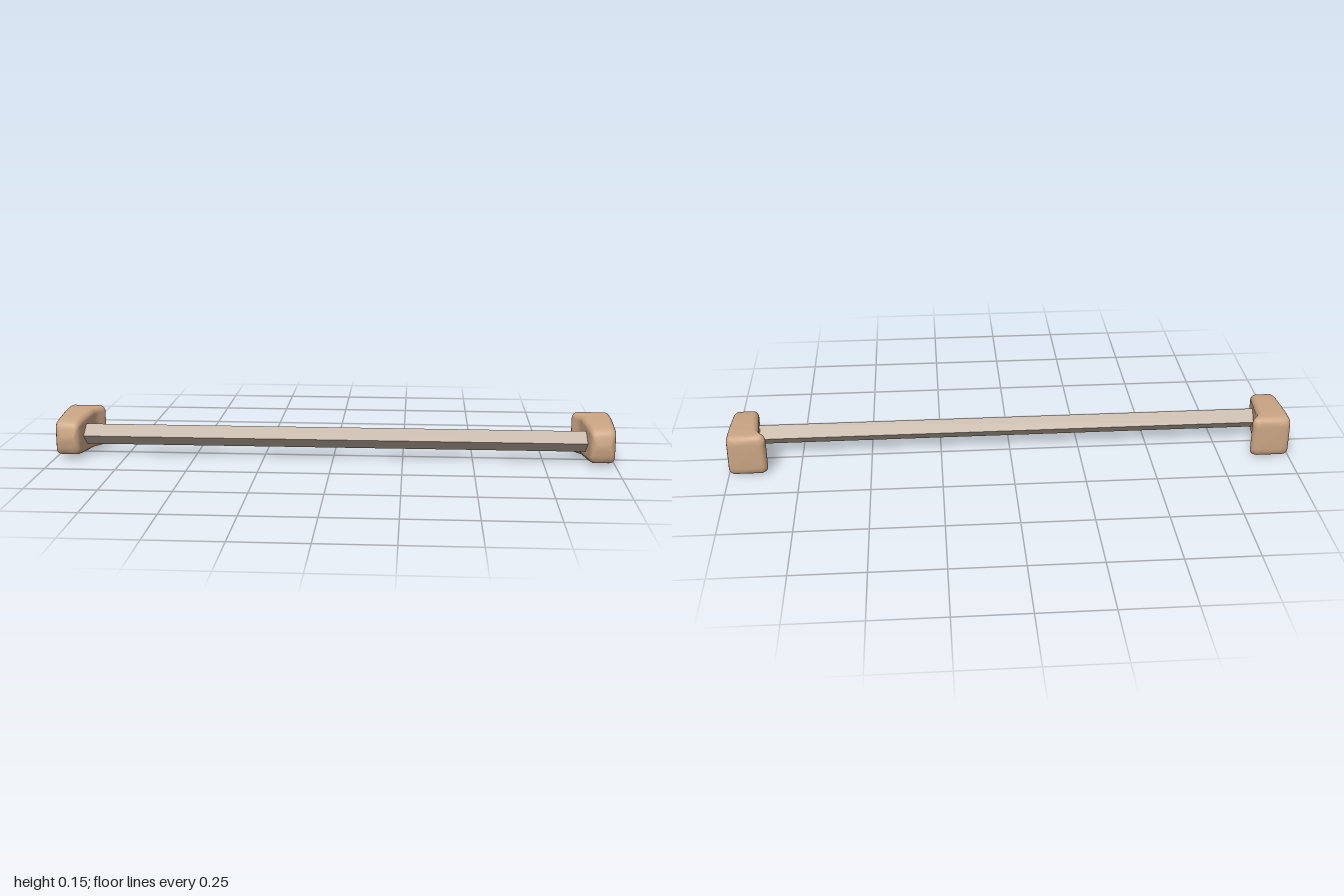
import * as THREE from 'three';

// Bracket cross-sections from wall to tip: z, inner x, outer x, half height, corner radius
const SECTIONS = [
  [-0.125, 0.885, 0.980, 0.046, 0.015],
  [-0.123, 0.875, 0.990, 0.060, 0.018],
  [-0.117, 0.867, 0.997, 0.070, 0.020],
  [-0.105, 0.863, 1.000, 0.075, 0.022],
  [-0.095, 0.866, 1.000, 0.0755, 0.022],
  [-0.080, 0.878, 1.000, 0.0755, 0.022],
  [-0.065, 0.887, 1.000, 0.0755, 0.022],
  [-0.050, 0.890, 1.000, 0.075, 0.022],
  [0.000, 0.895, 0.999, 0.072, 0.022],
  [0.060, 0.901, 0.997, 0.068, 0.022],
  [0.090, 0.904, 0.996, 0.064, 0.021],
  [0.108, 0.907, 0.993, 0.059, 0.019],
  [0.117, 0.912, 0.989, 0.050, 0.016],
  [0.122, 0.918, 0.982, 0.034, 0.012],
  [0.126, 0.924, 0.976, 0.010, 0.006],
];
const MID_Y = 0.0775;
const CORNER_STEPS = 6;

// Lofts rounded rectangles along z; side is +1 (left) or -1 (right)
function bracketGeometry(side) {
  const pos = [], idx = [];
  const n = 4 * (CORNER_STEPS + 1);
  const tri = (a, b, c) => (side > 0 ? idx.push(a, b, c) : idx.push(a, c, b));

  for (const [z, x0, x1, h, r] of SECTIONS) {
    const cx = (x0 + x1) / 2, w = (x1 - x0) / 2;
    for (let q = 0; q < 4; q++) {
      const sx = q === 0 || q === 3 ? 1 : -1, sy = q < 2 ? 1 : -1;
      for (let k = 0; k <= CORNER_STEPS; k++) {
        const a = (q + k / CORNER_STEPS) * Math.PI / 2;
        pos.push(
          side * (cx + sx * (w - r) + r * Math.cos(a)),
          MID_Y + sy * (h - r) + r * Math.sin(a),
          z
        );
      }
    }
  }
  const last = SECTIONS.length - 1;
  for (let i = 0; i < last; i++) {
    for (let j = 0; j < n; j++) {
      const k = (j + 1) % n;
      const a = i * n + j, b = i * n + k;
      tri(a, b, b + n);
      tri(a, b + n, a + n);
    }
  }
  // End caps
  const back = pos.length / 3, front = back + 1;
  pos.push(side * 0.9325, MID_Y, -0.1255, side * 0.95, MID_Y, 0.1265);
  for (let j = 0; j < n; j++) {
    const k = (j + 1) % n;
    tri(back, k, j);
    tri(front, last * n + j, last * n + k);
  }
  const g = new THREE.BufferGeometry();
  g.setAttribute('position', new THREE.Float32BufferAttribute(pos, 3));
  g.setIndex(idx);
  g.computeVertexNormals();
  return g;
}

export function createModel() {
  const group = new THREE.Group();
  group.name = 'towelRail';

  const bracketMat = new THREE.MeshStandardMaterial({ color: 0xcba684 });
  bracketMat.name = 'warm tan';
  const barMat = new THREE.MeshStandardMaterial({ color: 0xbfb0a1 });
  barMat.name = 'pale taupe';

  // Wall brackets
  for (const side of [1, -1]) {
    const bracket = new THREE.Mesh(bracketGeometry(side), bracketMat);
    bracket.name = side > 0 ? 'leftBracket' : 'rightBracket';
    group.add(bracket);
  }

  // Square bar set on its edge, its ends sunk into the brackets
  const barGeo = new THREE.CylinderGeometry(0.0375, 0.0375, 1.83, 4).toNonIndexed();
  barGeo.computeVertexNormals();
  const bar = new THREE.Mesh(barGeo, barMat);
  bar.name = 'bar';
  bar.rotation.z = Math.PI / 2;
  bar.position.set(0, 0.078, 0.0375);
  group.add(bar);

  return group;
}
